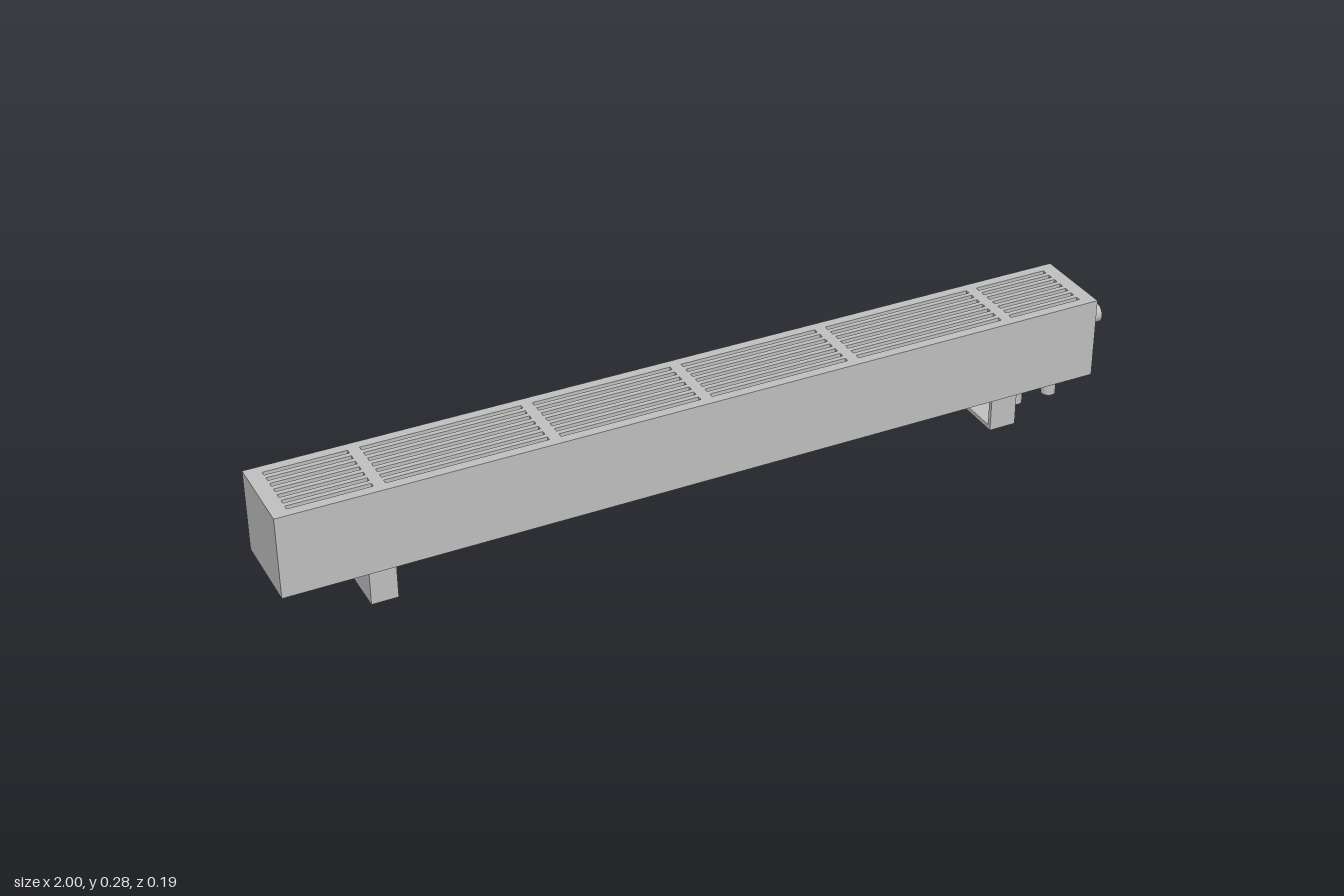
import * as THREE from 'three';

export function createModel() {
  const model = new THREE.Group();
  const grey = new THREE.MeshStandardMaterial({ color: 0xc0c0c0 });
  grey.name = 'light grey metal';

  const add = (name, geometry, parent = model) => {
    const mesh = new THREE.Mesh(geometry, grey);
    mesh.name = name;
    parent.add(mesh);
    return mesh;
  };
  // Box given by its minimum and maximum on each axis
  const box = (name, x0, x1, y0, y1, z0, z1, parent) =>
    add(name, new THREE.BoxGeometry(x1 - x0, y1 - y0, z1 - z0), parent)
      .position.set((x0 + x1) / 2, (y0 + y1) / 2, (z0 + z1) / 2);

  const L = -1, R = 0.93, B = 0.086, T = 0.278, W = 0.097;
  const lid = 0.02, wall = 0.015;

  // Hollow casing
  const casing = new THREE.Group();
  casing.name = 'casing';
  model.add(casing);
  box('casingFloor', L, R, B, B + wall, -W, W, casing);
  box('frontPanel', L, R, B + wall, T - lid, W - wall, W, casing);
  box('backPanel', L, R, B + wall, T - lid, -W, -W + wall, casing);
  box('leftEnd', R - wall, R, B + wall, T - lid, -W + wall, W - wall, casing);
  box('rightEnd', L, L + wall, B + wall, T - lid, -W + wall, W - wall, casing);

  // Top grille: rows of slots interrupted by five cross bars
  const rect = (path, x0, x1, y0, y1) => {
    path.moveTo(x0, y0);
    path.lineTo(x1, y0);
    path.lineTo(x1, y1);
    path.lineTo(x0, y1);
    path.closePath();
    return path;
  };
  const top = rect(new THREE.Shape(), L, R, -W, W);
  const bars = [-0.77, -0.385, -0.037, 0.317, 0.705];
  const starts = [-0.965, ...bars.map((x) => x + 0.013)];
  const ends = [...bars.map((x) => x - 0.013), 0.897];
  const slots = 7, pitch = 0.0228, half = 0.0055;
  for (let row = 0; row < slots; row++) {
    const z = (row - (slots - 1) / 2) * pitch;
    starts.forEach((x, i) => top.holes.push(rect(new THREE.Path(), x, ends[i], z - half, z + half)));
  }
  const grille = new THREE.ExtrudeGeometry(top, { depth: lid, bevelEnabled: false });
  grille.rotateX(-Math.PI / 2);
  add('topGrille', grille).position.y = T - lid;

  // Channel-shaped feet, webs outward and open sides facing each other
  const foot = (name, x0, x1, webAtMax) => {
    const g = new THREE.Group();
    g.name = name;
    model.add(g);
    const t = 0.01, d = 0.083;
    box('footBase', x0, x1, 0, t, -d, d, g);
    box('footFrontPlate', x0, x1, t, B, d - t, d, g);
    box('footBackPlate', x0, x1, t, B, -d, -d + t, g);
    box('footWeb', webAtMax ? x1 - t : x0, webAtMax ? x1 : x0 + t, t, B, -d + t, d - t, g);
  };
  foot('rightFoot', -0.81, -0.75, false);
  foot('leftFoot', 0.675, 0.74, true);

  // Connection pipes under the casing
  for (const x of [0.792, 0.883]) {
    add('connectionPipe', new THREE.CylinderGeometry(0.017, 0.017, B, 24)).position.set(x, B / 2, 0);
  }

  // Stepped valve on the end panel
  const valve = (name, radius, x0, x1) => {
    const geometry = new THREE.CylinderGeometry(radius, radius, x1 - x0, 12);
    geometry.rotateZ(-Math.PI / 2);
    add(name, geometry).position.set((x0 + x1) / 2, 0.182, 0);
  };
  valve('valveCollar', 0.029, R, 0.968);
  valve('valveCap', 0.024, 0.968, 1);

  return model;
}
